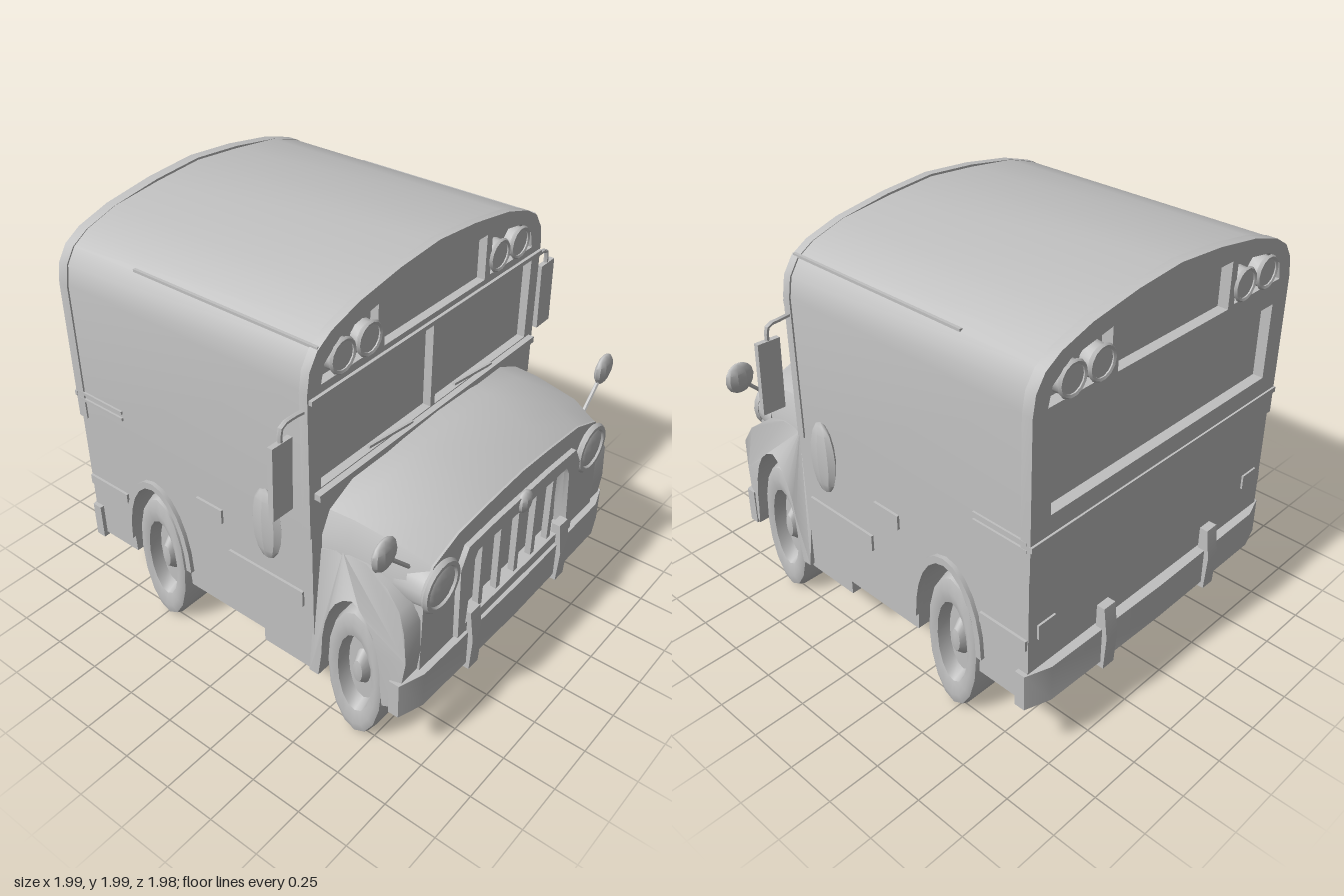
import * as THREE from 'three';
import { toCreasedNormals } from 'three/addons/utils/BufferGeometryUtils.js';

const grey = new THREE.MeshStandardMaterial({ color: 0xc0c0c0 });
grey.name = 'primer grey';

const V = (x, y, z) => new THREE.Vector3(x, y, z);
const toVec2 = pts => pts.map(p => new THREE.Vector2(p[0], p[1]));
const mirrored = half => [...half, ...half.filter(p => p[0] > 0).reverse().map(([x, y]) => [-x, y])];
const rect = (x0, y0, x1, y1) => [[x0, y0], [x1, y0], [x1, y1], [x0, y1]];
// points along an elliptical wheel arch, from angle a0 to a1
const arc = (cx, cy, rx, ry, a0, a1, n = 12) => Array.from({ length: n + 1 }, (_, i) => {
  const a = a0 + (a1 - a0) * i / n;
  return [cx + rx * Math.cos(a), cy + ry * Math.sin(a)];
});

export function createModel() {
  const bus = new THREE.Group();
  bus.name = 'bus';

  const add = (name, geo, x = 0, y = 0, z = 0) => {
    const m = new THREE.Mesh(toCreasedNormals(geo, 0.6), grey);
    m.name = name;
    m.position.set(x, y, z);
    bus.add(m);
    return m;
  };
  const box = (name, w, h, d, x, y, z) => add(name, new THREE.BoxGeometry(w, h, d), x, y, z);
  // outline in x,y pushed along z
  const plate = (name, pts, z0, z1, holes = []) => {
    const s = new THREE.Shape(toVec2(pts));
    s.holes = holes.map(h => new THREE.Path(toVec2(h)));
    return add(name, new THREE.ExtrudeGeometry(s, { depth: z1 - z0, bevelEnabled: false }), 0, 0, z0);
  };
  // outline in z,y pushed along x
  const sideGeometry = (pts, width) => {
    const g = new THREE.ExtrudeGeometry(new THREE.Shape(toVec2(pts)), { depth: width, bevelEnabled: false });
    return g.translate(0, 0, -width / 2).rotateY(-Math.PI / 2);
  };
  const side = (name, pts, width, x) => add(name, sideGeometry(pts, width), x);
  const tube = (name, pts, r) => add(name,
    new THREE.TubeGeometry(new THREE.CatmullRomCurve3(pts), 8, r, 6));

  // lower body with the rear wheel wells
  side('lowerBody', [
    [0.46, 1.0], [0.46, 0.26], [0.17, 0.26], [0.17, 0.33], [-0.28, 0.33],
    ...arc(-0.47, 0.42, 0.185, 0.38, 0, Math.PI),
    [-0.65, 0.33], [-0.92, 0.33], [-0.92, 1.0]
  ], 1.6, 0);
  box('rearWheelWell', 0.98, 0.4, 0.38, 0, 0.63, -0.47);

  // arched upper body
  const roof = (k, top) => mirrored([
    [0.8 * k, 1.0], [0.8 * k, 1.68], [0.785 * k, 1.77], [0.74 * k, 1.84], [0.66 * k, 1.89],
    [0.5 * k, 1.94], [0.25 * k, top - 0.02], [0, top]]);
  plate('upperBody', roof(1, 1.99), -0.88, 0.42);

  // front and rear walls with recessed windows, sign and lamp pods
  const pod = s => [[0.39, 1.69], [0.73, 1.69], [0.71, 1.77], [0.62, 1.84], [0.39, 1.88]].map(([x, y]) => [x * s, y]);
  const sign = rect(-0.35, 1.68, 0.35, 1.89);
  plate('frontWall', roof(1.01, 2.0), 0.42, 0.46, [
    rect(-0.74, 1.22, -0.015, 1.62), rect(0.015, 1.22, 0.74, 1.62), sign, pod(1), pod(-1)]);
  plate('rearWall', roof(1.01, 2.0), -0.93, -0.88, [
    rect(-0.7, 1.22, 0.7, 1.58), sign, pod(1), pod(-1)]);
  box('rearBeltRail', 1.62, 0.025, 0.015, 0, 1.12, -0.932);
  box('windshieldSill', 1.56, 0.03, 0.05, 0, 1.2, 0.465);
  box('windshieldHeader', 1.6, 0.02, 0.02, 0, 1.645, 0.465);

  // paired warning lamps at both ends
  for (const [z, dir] of [[0.435, 1], [-0.905, -1]]) for (const x of [-0.61, -0.45, 0.45, 0.61]) {
    const lamp = add('warningLamp', new THREE.CylinderGeometry(0.065, 0.07, 0.06, 12), x, 1.76, z);
    lamp.rotation.x = dir * Math.PI / 2;
    add('warningLampRim', new THREE.TorusGeometry(0.067, 0.01, 5, 14), x, 1.76, z + dir * 0.03);
  }

  // bonnet skin lofted from cab to nose, open underneath
  const noseTop = [[0.69, 0.8], [0.68, 0.91], [0.63, 1.0], [0.46, 1.06], [0.2, 1.08], [0, 1.09]];
  const section = (half, z) => mirrored(half).map(([x, y]) => [x, y, z]);
  const rings = [
    section([[0.74, 0.8], [0.74, 0.98], [0.69, 1.08], [0.5, 1.17], [0.25, 1.19], [0, 1.2]], 0.45),
    section([[0.73, 0.8], [0.73, 0.97], [0.68, 1.08], [0.5, 1.16], [0.25, 1.2], [0, 1.21]], 0.58),
    section([[0.71, 0.8], [0.71, 0.95], [0.66, 1.05], [0.48, 1.11], [0.22, 1.14], [0, 1.15]], 0.8),
    section(noseTop, 0.92)
  ];
  const n = rings[0].length, index = [];
  for (let s = 0; s < rings.length - 1; s++) for (let i = 0; i < n - 1; i++) {
    const a = s * n + i, b = a + 1;
    index.push(a, b, a + n, b, b + n, a + n);
  }
  const hood = new THREE.BufferGeometry();
  hood.setAttribute('position', new THREE.Float32BufferAttribute(rings.flat(2), 3));
  hood.setIndex(index);
  add('bonnet', hood);
  box('engineBayCeiling', 1.4, 0.03, 0.4, 0, 0.815, 0.65);

  // nose panel, radiator and grille
  const opening = mirrored([[0.41, 0.55], [0.38, 0.86], [0.35, 0.91]]);
  plate('nosePanel', [[0.7, 0.33], ...noseTop, ...noseTop.slice(0, -1).reverse().map(([x, y]) => [-x, y]), [-0.7, 0.33]],
    0.89, 0.93, [opening]);
  box('radiator', 0.96, 0.5, 0.03, 0, 0.73, 0.855);
  plate('grilleSurround',
    mirrored([[0.46, 0.5], [0.47, 0.88], [0.42, 0.97], [0.2, 0.98], [0, 0.98]]), 0.92, 0.955, [opening]);
  for (const x of [-0.28, -0.14, 0, 0.14, 0.28]) box('grilleBar', 0.03, 0.38, 0.03, x, 0.73, 0.925);
  add('noseCap', new THREE.SphereGeometry(0.055, 10, 8), 0, 0.94, 0.95).scale.z = 0.5;

  // bumpers with swept ends and upright guards
  for (const [name, z, dir] of [['frontBumper', 0.97, 1], ['rearBumper', -0.97, -1]]) {
    const plan = mirrored([[0.82, -0.1], [0.82, -0.05], [0.7, -0.01], [0, 0]]);
    const g = new THREE.ExtrudeGeometry(new THREE.Shape(toVec2(plan)), { depth: 0.18, bevelEnabled: false });
    g.rotateX(-Math.PI / 2);
    if (dir > 0) g.rotateY(Math.PI);
    add(name, g, 0, 0.31, z);
    for (const x of [-0.36, 0.36]) side('bumperGuard', [
      [z + dir * 0.01, 0.28], [z + dir * 0.02, 0.45], [z, 0.6], [z - dir * 0.04, 0.6], [z - dir * 0.04, 0.28]
    ], 0.07, x);
  }

  // chassis rails and axles
  for (const x of [-0.3, 0.3]) box('chassisRail', 0.07, 0.07, 1.75, x, 0.36, 0);
  for (const z of [0.67, -0.48]) {
    const axle = add('axle', new THREE.CylinderGeometry(0.04, 0.04, 1.2, 8), 0, 0.37, z);
    axle.rotation.z = Math.PI / 2;
  }
  box('crossMember', 1.04, 0.05, 0.06, 0, 0.26, 0.49);

  const tyre = toVec2([[0, -0.145], [0.34, -0.145], [0.36, -0.12], [0.36, 0.1], [0.345, 0.13], [0.29, 0.145],
    [0.22, 0.13], [0.19, 0.07], [0.1, 0.07], [0.06, 0.11], [0, 0.12]]);

  // front fender, its top and front corner drawn in towards the bonnet
  const fender = s => {
    const g = sideGeometry([
      [0.45, 0.28], [0.5, 0.28], ...arc(0.675, 0.42, 0.155, 0.38, Math.PI, 0),
      [0.84, 0.33], [0.9, 0.34], [0.93, 0.6], [0.92, 0.76], [0.88, 0.84], [0.8, 0.9], [0.68, 0.94], [0.56, 0.94], [0.45, 0.91]
    ], 0.19);
    const p = g.attributes.position;
    for (let i = 0; i < p.count; i++) if (p.getX(i) * s > 0) {
      const pull = Math.max(0, p.getY(i) - 0.78) * 0.6 + Math.max(0, p.getZ(i) - 0.85) * 0.4;
      p.setX(i, p.getX(i) - s * pull);
    }
    add('frontFender', g, s * 0.73);
  };

  for (const s of [-1, 1]) {
    fender(s);

    // headlight
    const head = add('headlight', new THREE.CylinderGeometry(0.11, 0.13, 0.14, 14), s * 0.59, 0.88, 0.87);
    head.rotation.x = Math.PI / 2;
    add('headlightRim', new THREE.TorusGeometry(0.105, 0.018, 6, 18), s * 0.59, 0.88, 0.94);
    add('headlightLens', new THREE.SphereGeometry(0.1, 14, 8), s * 0.59, 0.88, 0.935).scale.z = 0.25;

    // wheels
    for (const z of [0.67, -0.48]) {
      const g = new THREE.LatheGeometry(tyre, 16);
      g.rotateZ(-s * Math.PI / 2);
      add(z > 0 ? 'frontWheel' : 'rearWheel', g, s * 0.66, 0.37, z).scale.z = 0.41;
    }

    // rear wheel arch lip
    side('rearArchLip', [...arc(-0.47, 0.42, 0.21, 0.41, 0, Math.PI), ...arc(-0.47, 0.42, 0.18, 0.375, Math.PI, 0)],
      0.04, s * 0.8);

    // side trim, markers and gutter
    box('stepPanel', 0.02, 0.08, 0.42, s * 0.802, 0.65, 0.2);
    box('rearSidePanel', 0.02, 0.05, 0.25, s * 0.802, 0.64, -0.79);
    box('sideMarker', 0.02, 0.07, 0.15, s * 0.802, 0.855, -0.115);
    for (const y of [1.1, 1.135]) box('sideRail', 0.015, 0.015, 0.28, s * 0.802, y, -0.77);
    box('roofGutter', 0.014, 0.012, 0.97, s * 0.736, 1.845, -0.03);
    box('tailLamp', 0.1, 0.07, 0.015, s * 0.7, 0.68, -0.922);

    // oval mirror on the body side
    add('ovalSideMirror', new THREE.SphereGeometry(1, 8, 8), s * 0.835, 0.99, 0.25).scale.set(0.032, 0.18, 0.08);

    // flat door mirror on a bracket
    const mirror = box('doorMirror', 0.11, 0.33, 0.025, s * 0.935, 1.365, 0.43);
    mirror.rotation.z = s * 0.03;
    tube('doorMirrorArm', [V(s * 0.78, 1.6, 0.44), V(s * 0.86, 1.6, 0.43), V(s * 0.92, 1.59, 0.43), V(s * 0.93, 1.5, 0.43)], 0.011);

    // round mirror on the fender
    const round = add('fenderMirror', new THREE.SphereGeometry(0.075, 10, 8), s * 0.83, 1.15, 0.84);
    round.scale.z = 0.35;
    tube('fenderMirrorArm', [V(s * 0.66, 0.97, 0.84), V(s * 0.73, 1.04, 0.84), V(s * 0.81, 1.12, 0.84)], 0.01);

    // wiper
    const wiper = box('wiper', 0.3, 0.012, 0.012, s * 0.3, 1.235, 0.465);
    wiper.rotation.z = -0.12;
  }

  return bus;
}
